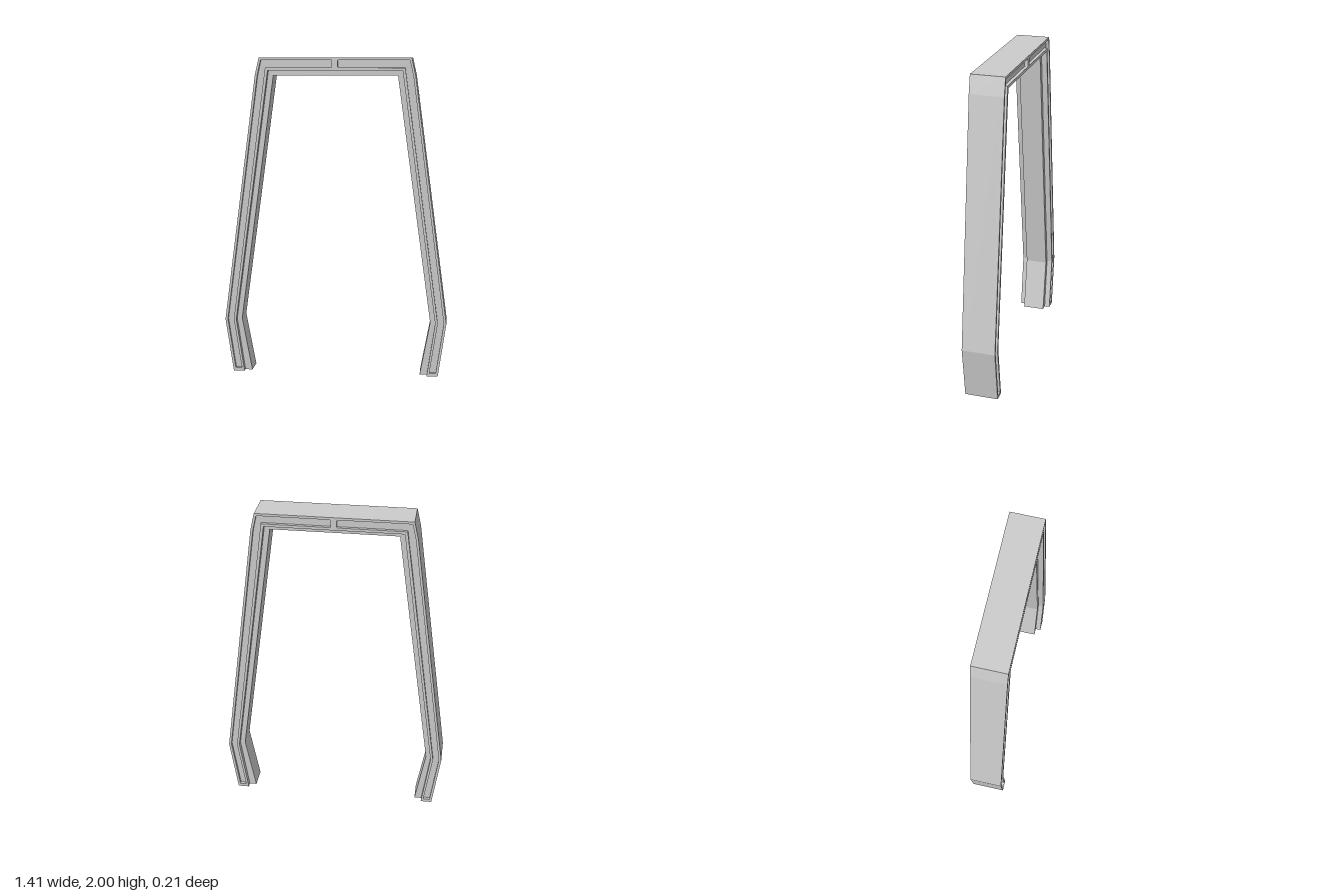
import * as THREE from 'three';

// Half profiles on the +x side, listed from the foot up to the crossbar
const OUTER = [[0.655, 0], [0.705, 0.34], [0.497, 1.89], [0.472, 2]];
const STEP = [[0.585, 0], [0.635, 0.34], [0.417, 1.92]];
const INNER = [[0.54, 0], [0.603, 0.34], [0.387, 1.89]];
const GROOVE_OUT = [[0.642, 0.02], [0.689, 0.34], [0.482, 1.89], [0.46, 1.985]];
const GROOVE_IN = [[0.602, 0.02], [0.651, 0.34], [0.433, 1.937]];

const HALF_DEPTH = 0.105;
const GROOVE_DEPTH = 0.02;
const STEP_DEPTH = 0.035;

const mirror = (pts) => pts.map(([x, y]) => [-x, y]);
const vectors = (pts) => pts.map(([x, y]) => new THREE.Vector2(x, y));

// Closed arch outline between an outer and an inner half profile
function archShape(outer, inner) {
  return new THREE.Shape(vectors([
    ...outer, ...mirror(outer).reverse(),
    ...mirror(inner), ...[...inner].reverse(),
  ]));
}

// Groove along one leg and half the crossbar, with a softly rounded end
function grooveHole(side) {
  const path = new THREE.Path();
  const end = 0.018, top = 1.985, low = 1.937, r = 0.008;
  GROOVE_OUT.forEach(([x, y], i) => (i ? path.lineTo(side * x, y) : path.moveTo(side * x, y)));
  path.lineTo(side * (end + r), top);
  path.quadraticCurveTo(side * end, top, side * end, top - r);
  path.lineTo(side * end, low + r);
  path.quadraticCurveTo(side * end, low, side * (end + r), low);
  [...GROOVE_IN].reverse().forEach(([x, y]) => path.lineTo(side * x, y));
  path.closePath();
  return path;
}

export function createModel() {
  const group = new THREE.Group();
  group.name = 'archFrame';
  const material = new THREE.MeshStandardMaterial({ color: 0xcccccc, flatShading: true });

  function addSlab(name, shape, zMin, zMax) {
    const geometry = new THREE.ExtrudeGeometry(shape, {
      depth: zMax - zMin, bevelEnabled: false, curveSegments: 4,
    });
    geometry.translate(0, 0, zMin);
    const mesh = new THREE.Mesh(geometry, material);
    mesh.name = name;
    group.add(mesh);
  }

  // Main band, whose faces form the groove floors
  const core = HALF_DEPTH - GROOVE_DEPTH;
  addSlab('outerBand', archShape(OUTER, STEP), -core, core);

  // Grooved rims on the front and back
  const rim = archShape(OUTER, STEP);
  rim.holes.push(grooveHole(1), grooveHole(-1));
  addSlab('frontRim', rim, core, HALF_DEPTH);
  addSlab('backRim', rim, -HALF_DEPTH, -core);

  // Narrower inner lip, set back on both sides
  const lip = HALF_DEPTH - STEP_DEPTH;
  addSlab('innerLip', archShape(STEP, INNER), -lip, lip);

  return group;
}
